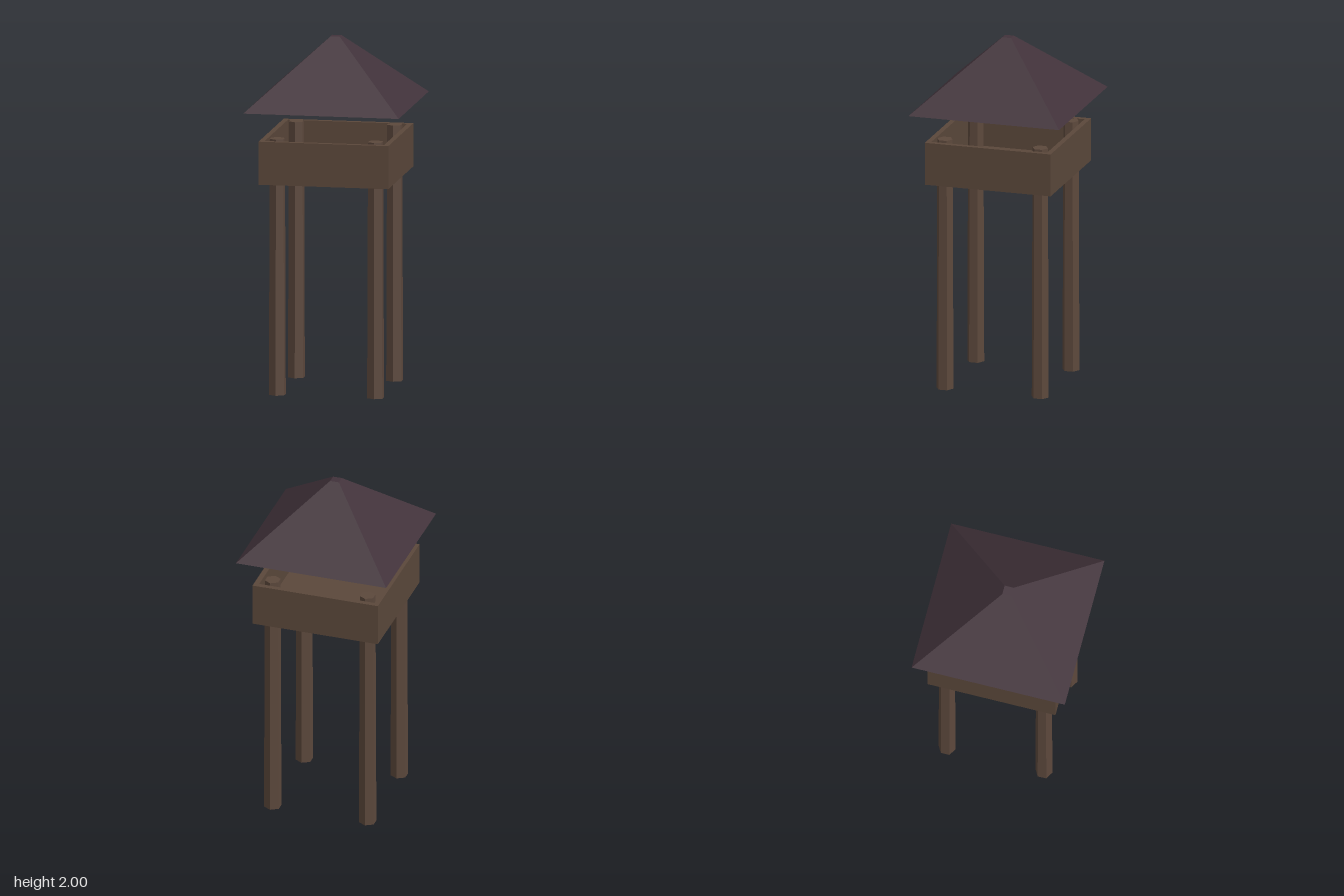
import * as THREE from 'three';

const mat = (name, color) => Object.assign(new THREE.MeshStandardMaterial({ color, flatShading: true }), { name });

export function createModel() {
  const postWood = mat('post wood', 0x5c483c);
  const wallWood = mat('wall wood', 0x5a473a);
  const roofTile = mat('roof purple', 0x41323a);
  const model = new THREE.Group();
  model.name = 'watchtower';

  const add = (name, geometry, material, x, y, z) => {
    const mesh = new THREE.Mesh(geometry, material);
    mesh.name = name;
    mesh.position.set(x, y, z);
    model.add(mesh);
    return mesh;
  };

  // Four tapered hexagonal posts, poking just above the railing
  const postHeight = 1.456;
  const postGeometry = new THREE.CylinderGeometry(0.045, 0.05, postHeight, 6);
  for (const x of [-0.28, 0.28]) {
    for (const z of [-0.28, 0.28]) add('post', postGeometry, postWood, x, postHeight / 2, z);
  }

  // Platform floor
  const half = 0.37, wall = 0.03, bottom = 1.205, top = 1.45, floor = 0.035;
  const inner = 2 * (half - wall);
  add('platformFloor', new THREE.BoxGeometry(inner, floor, inner), wallWood, 0, bottom + floor / 2, 0);

  // Parapet walls around the floor: a square ring
  const square = (s) => [[-s, -s], [s, -s], [s, s], [-s, s]].map(([x, y]) => new THREE.Vector2(x, y));
  const ring = new THREE.Shape(square(half));
  ring.holes.push(new THREE.Path(square(half - wall)));
  const ringGeometry = new THREE.ExtrudeGeometry(ring, { depth: top - bottom, bevelEnabled: false });
  ringGeometry.rotateX(-Math.PI / 2);
  add('parapet', ringGeometry, wallWood, 0, bottom, 0);

  // Square hipped roof with a small flat cap, floating above the platform
  const eave = 1.62, peak = 2;
  const roofGeometry = new THREE.CylinderGeometry(0.026 * Math.SQRT2, 0.443 * Math.SQRT2, peak - eave, 4);
  roofGeometry.rotateY(Math.PI / 4);
  add('roof', roofGeometry, roofTile, 0, (eave + peak) / 2, 0);

  return model;
}
